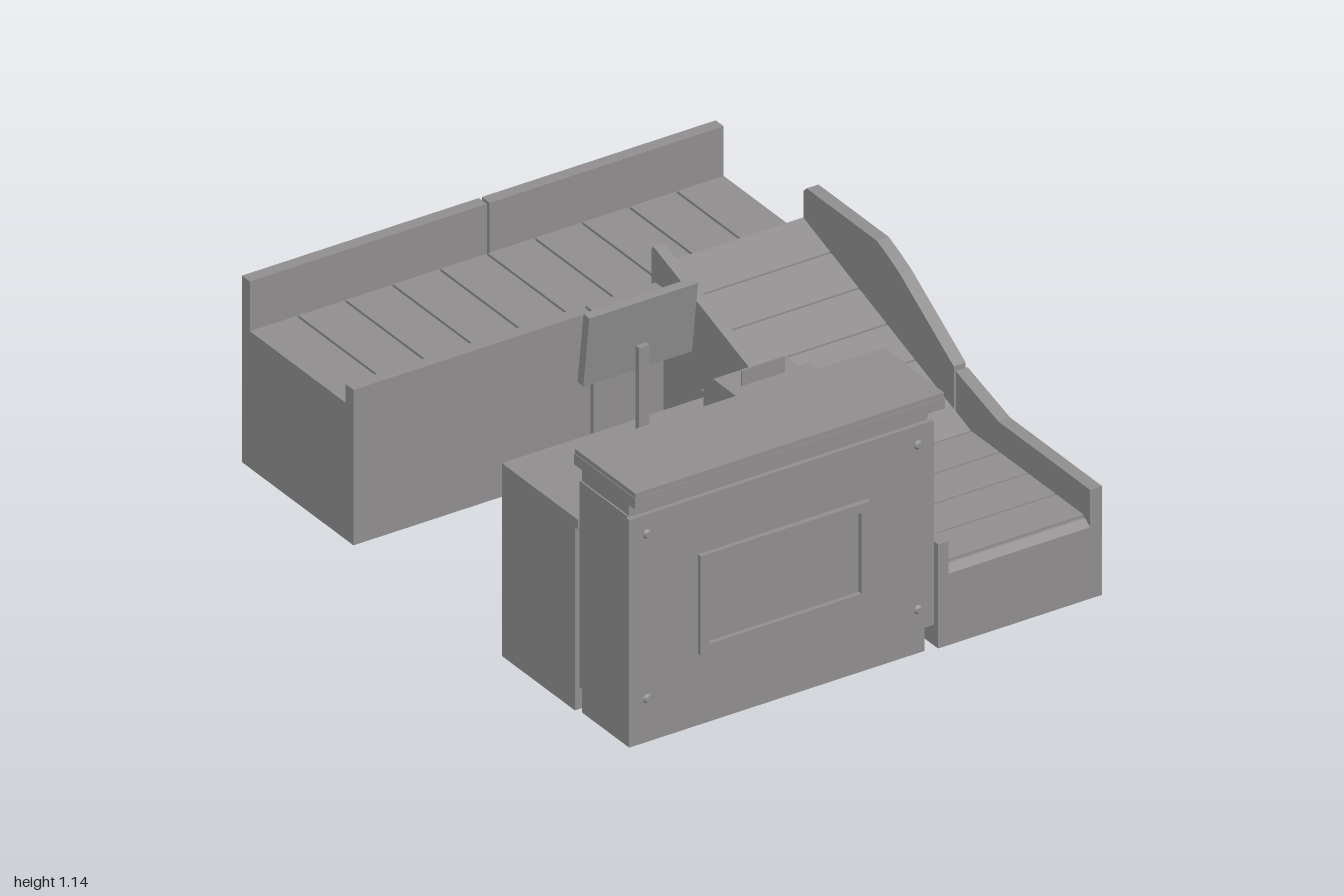
import * as THREE from 'three';

export function createModel() {
  const model = new THREE.Group();
  const grey = new THREE.MeshStandardMaterial({ color: 0x8f8d8e });
  grey.name = 'warm grey';

  const add = (name, geometry, parent = model) => {
    const mesh = new THREE.Mesh(geometry, grey);
    mesh.name = name;
    parent.add(mesh);
    return mesh;
  };
  const group = (name) => {
    const g = new THREE.Group();
    g.name = name;
    model.add(g);
    return g;
  };
  // Box given by its limits on each axis
  const box = (name, x0, x1, y0, y1, z0, z1, parent) => {
    const geometry = new THREE.BoxGeometry(x1 - x0, y1 - y0, z1 - z0);
    geometry.translate((x0 + x1) / 2, (y0 + y1) / 2, (z0 + z1) / 2);
    return add(name, geometry, parent);
  };
  // Side outline of [z, y] points, extruded from x0 to x1
  const profile = (name, points, x0, x1, parent) => {
    const shape = new THREE.Shape(points.map(([z, y]) => new THREE.Vector2(z, y)));
    const geometry = new THREE.ExtrudeGeometry(shape, { depth: x1 - x0, bevelEnabled: false });
    geometry.rotateY(-Math.PI / 2);
    geometry.translate(x1, 0, 0);
    return add(name, geometry, parent);
  };
  // Flat domed bolt head facing along the given axis
  const bolt = (x, y, z, axis, parent) => {
    const mesh = add('bolt', new THREE.CylinderGeometry(0.009, 0.016, 0.009, 12), parent);
    mesh.position.set(x, y, z);
    mesh.quaternion.setFromUnitVectors(new THREE.Vector3(0, 1, 0), axis);
  };
  const left = new THREE.Vector3(1, 0, 0);
  const front = new THREE.Vector3(0, 0, 1);
  const back = new THREE.Vector3(0, 0, -1);

  // Counter front
  const counter = group('counter');
  box('counterBody', -0.795, 0.205, 0.08, 0.745, 0.71, 0.955, counter);
  box('plinth', -0.79, 0.2, 0, 0.08, 0.715, 0.955, counter);
  box('counterNeck', -0.79, 0.21, 0.745, 0.79, 0.715, 0.955, counter);
  box('counterTop', -0.8, 0.24, 0.79, 0.825, 0.69, 1.0, counter);
  box('counterTopSheet', -0.798, 0.238, 0.825, 0.84, 0.692, 0.998, counter);
  box('frontPanel', -0.8, 0.222, 0.085, 0.742, 0.955, 0.97, counter);
  for (const x of [-0.74, 0.17]) for (const y of [0.15, 0.68]) bolt(x, y, 0.973, front, counter);

  // Raised display frame on the front panel
  box('frameTop', -0.57, 0, 0.53, 0.56, 0.97, 0.985, counter);
  box('frameBottom', -0.57, 0, 0.24, 0.27, 0.97, 0.985, counter);
  box('frameRight', -0.57, -0.54, 0.27, 0.53, 0.97, 0.985, counter);
  box('frameLeft', -0.03, 0, 0.27, 0.53, 0.97, 0.985, counter);

  // Desk behind the counter
  const desk = group('desk');
  box('deskTop', -0.8, 0.23, 0.59, 0.62, 0.325, 0.71, desk);
  box('deskCabinet', -0.8, -0.485, 0, 0.59, 0.325, 0.695, desk);
  box('deskSidePanel', 0.2, 0.23, 0, 0.59, 0.325, 0.71, desk);

  // Monitor, leaning back, facing the clerk
  const monitor = group('monitor');
  box('monitorBase', -0.55, -0.38, 0.62, 0.635, 0.45, 0.58, monitor);
  box('monitorPost', -0.48, -0.445, 0.635, 0.99, 0.52, 0.538, monitor);
  const display = new THREE.Group();
  display.name = 'display';
  display.position.set(-0.4625, 1.02, 0.505);
  display.rotation.x = 0.13;
  monitor.add(display);
  box('displayShell', -0.1825, 0.1825, -0.118, 0.118, -0.008, 0.014, display);
  for (const s of [-1, 1]) {
    const y = s * 0.11;
    const x = s * 0.1735;
    box('bezel', -0.1825, 0.1825, y - 0.008, y + 0.008, -0.015, -0.008, display);
    box('bezel', x - 0.009, x + 0.009, -0.102, 0.102, -0.015, -0.008, display);
  }

  // Ticket printer
  const printer = group('printer');
  profile('printerBody', [
    [0.62, 0.62], [0.62, 0.735], [0.6, 0.76], [0.46, 0.76], [0.41, 0.715], [0.41, 0.62],
  ], -0.18, 0.06, printer);
  box('printerTray', -0.145, 0.025, 0.65, 0.66, 0.345, 0.41, printer);
  box('ticket', -0.135, 0.01, 0.76, 0.81, 0.532, 0.538, printer);

  // Sloping conveyor: two modules with a narrow joint at z = 0.28
  const ramp = group('slopingConveyor');
  const beltY = (z) => (z > 0.36 ? 0.255 : 0.255 + (0.36 - z) * 0.335);
  const bed = (z) => beltY(z) - 0.008;
  profile('lowerBed', [
    [0.965, 0], [0.965, 0.23], [0.94, bed(0.94)], [0.36, bed(0.36)], [0.285, bed(0.285)], [0.285, 0],
  ], 0.275, 0.75, ramp);
  profile('upperBed', [
    [0.275, 0], [0.275, bed(0.275)], [-0.485, bed(-0.485)], [-0.485, 0.48], [-0.465, 0.48], [-0.465, 0],
  ], 0.275, 0.75, ramp);
  profile('lowerOuterSide', [
    [0.965, 0], [0.965, 0.35], [0.5, 0.35], [0.285, 0.41], [0.285, 0],
  ], 0.75, 0.79, ramp);
  profile('upperOuterSide', [
    [0.275, 0], [0.275, 0.42], [0.17, 0.485], [0, 0.59], [-0.05, 0.614], [-0.115, 0.64], [-0.47, 0.64],
    [-0.485, 0.625], [-0.485, 0.48], [-0.465, 0.48], [-0.465, 0],
  ], 0.75, 0.79, ramp);
  profile('lowerInnerSide', [
    [0.965, 0], [0.965, 0.335], [0.36, 0.335], [0.285, 0.36], [0.285, 0],
  ], 0.24, 0.275, ramp);
  profile('upperInnerSide', [
    [0.275, 0], [0.275, 0.363], [-0.475, 0.61], [-0.485, 0.6], [-0.485, 0.48], [-0.465, 0.48], [-0.465, 0],
  ], 0.24, 0.275, ramp);
  const pitch = 0.1425;
  for (let i = 0; i < 10; i++) {
    const z0 = 0.935 - i * pitch - 0.003;
    const z1 = 0.935 - (i + 1) * pitch + 0.003;
    const under = 0.012;
    profile('rampBeltSegment', [
      [z0, beltY(z0) - under], [z0, beltY(z0)], [z1, beltY(z1)], [z1, beltY(z1) - under],
    ], 0.275, 0.75, ramp);
  }
  for (const [z, y] of [[0.91, 0.28], [0.91, 0.1], [0.335, 0.33], [0.335, 0.1],
    [0.225, 0.395], [0.225, 0.1], [-0.36, 0.56], [-0.36, 0.1], [-0.425, 0.48]]) {
    bolt(0.793, y, z, left, ramp);
  }

  // Rear conveyor: two modules, with a front rim up to the ramp
  const rear = group('rearConveyor');
  const wall = [[-0.99, 0], [-0.99, 0.6], [-0.95, 0.6], [-0.95, 0.43], [-0.465, 0.43]];
  const rimmed = [...wall, [-0.465, 0.5], [-0.425, 0.5], [-0.425, 0]];
  profile('rearModuleRight', rimmed, -0.8, -0.005, rear);
  profile('rearModuleLeft', rimmed, 0.005, 0.24, rear);
  profile('rearModuleEnd', [...wall, [-0.465, 0]], 0.24, 0.79, rear);
  for (let i = 0; i < 10; i++) {
    const x = -0.8 + i * 0.159;
    box('rearBeltSegment', x + (i ? 0.004 : 0), x + (i < 9 ? 0.155 : 0.159), 0.42, 0.44, -0.95, -0.465, rear);
  }
  for (const x of [-0.74, -0.065, 0.065, 0.73]) for (const y of [0.1, 0.5]) bolt(x, y, -0.994, back, rear);

  return model;
}
